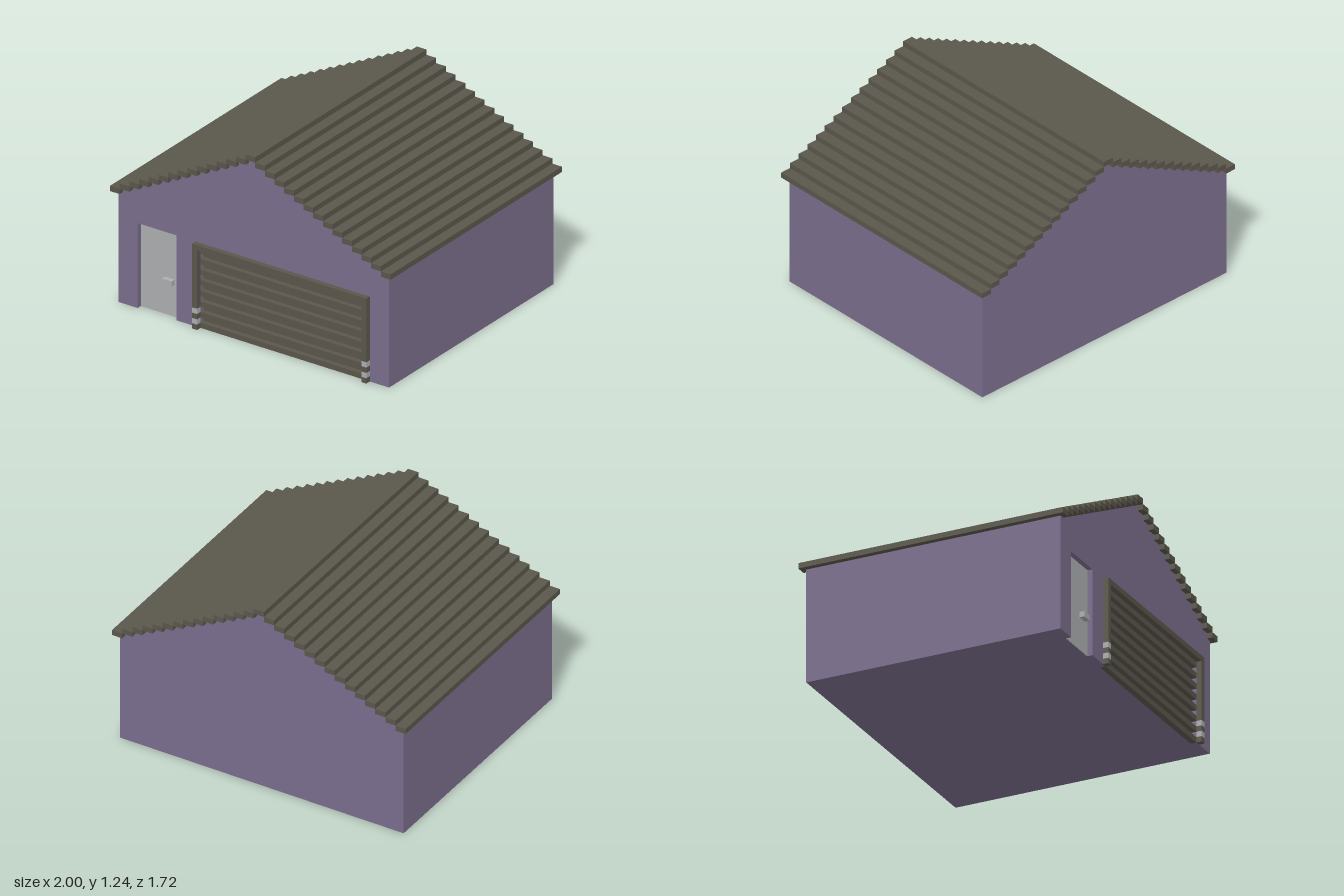
import * as THREE from 'three';

// Everything sits on a module of 1/29 of the roof width
const U = 2 / 29;

export function createModel() {
  const garage = new THREE.Group();
  garage.name = 'garage';

  const material = (name, color) => {
    const m = new THREE.MeshStandardMaterial({ color });
    m.name = name;
    return m;
  };
  const purple = material('wallPurple', 0x7a6d8c);
  const brown = material('darkBrown', 0x5a564b);
  const grey = material('lightGrey', 0xacadb0);

  // Box given by its limits, in modules
  function box(name, mat, [x0, x1], [y0, y1], [z0, z1], parent = garage) {
    const geo = new THREE.BoxGeometry((x1 - x0) * U, (y1 - y0) * U, (z1 - z0) * U);
    const mesh = new THREE.Mesh(geo, mat);
    mesh.name = name;
    mesh.position.set((x0 + x1) / 2 * U, (y0 + y1) / 2 * U, (z0 + z1) / 2 * U);
    parent.add(mesh);
    return mesh;
  }

  // Gabled outline pushed along z, in modules
  function gable(name, points, z0, z1) {
    const shape = new THREE.Shape(points.map(([x, y]) => new THREE.Vector2(x * U, y * U)));
    const geo = new THREE.ExtrudeGeometry(shape, { depth: (z1 - z0) * U, bevelEnabled: false });
    const mesh = new THREE.Mesh(geo, purple);
    mesh.name = name;
    mesh.position.z = z0 * U;
    garage.add(mesh);
  }

  // Walls: a solid body and a front layer with two openings
  const top = [[14, 0], [14, 10.75], [0, 17.75], [-14, 10.75], [-14, 0]];
  gable('body', top, -12, 11.5);
  gable('frontWall', [
    ...top,
    [-12, 0], [-12, 8], [-8, 8], [-8, 0],
    [-5.5, 0], [-5.5, 7.5], [11.5, 7.5], [11.5, 0],
  ], 11.5, 12);

  // Stepped roof slabs
  const roof = new THREE.Group();
  roof.name = 'roof';
  garage.add(roof);
  for (let i = -14; i <= 14; i++) {
    const y = 18 - Math.abs(i) / 2;
    box('roofSlab', brown, [i - 0.5, i + 0.5], [y - 0.5, y], [-12.5, 12.5], roof);
  }

  // Recessed side door with its handle
  box('door', grey, [-12, -8], [0, 8], [11.45, 11.54]);
  box('doorHandle', grey, [-9.5, -8.5], [3, 3.5], [11.5, 12]);

  // Roller door: flush slats alternating with recessed ones
  const roller = new THREE.Group();
  roller.name = 'rollerDoor';
  garage.add(roller);
  box('rollerBack', brown, [-5.5, 11.5], [0, 7.5], [11.45, 11.54], roller);
  for (let y = 0; y < 7.5; y++) {
    box('rollerSlat', brown, [-5.5, 11.5], [y, y + 0.5], [11.5, 12], roller);
  }

  // Door frame, posts banded near the ground
  const frame = new THREE.Group();
  frame.name = 'rollerFrame';
  garage.add(frame);
  box('frameLintel', brown, [-6, 12], [7.5, 8], [12, 12.5], frame);
  for (const x of [-6, 11.5]) {
    const bands = [0, 0.5, 1, 1.5, 2, 7.5];
    for (let i = 0; i < 5; i++) {
      box(i % 2 ? 'frameBand' : 'framePost', i % 2 ? grey : brown,
        [x, x + 0.5], [bands[i], bands[i + 1]], [12, 12.5], frame);
    }
  }

  return garage;
}
